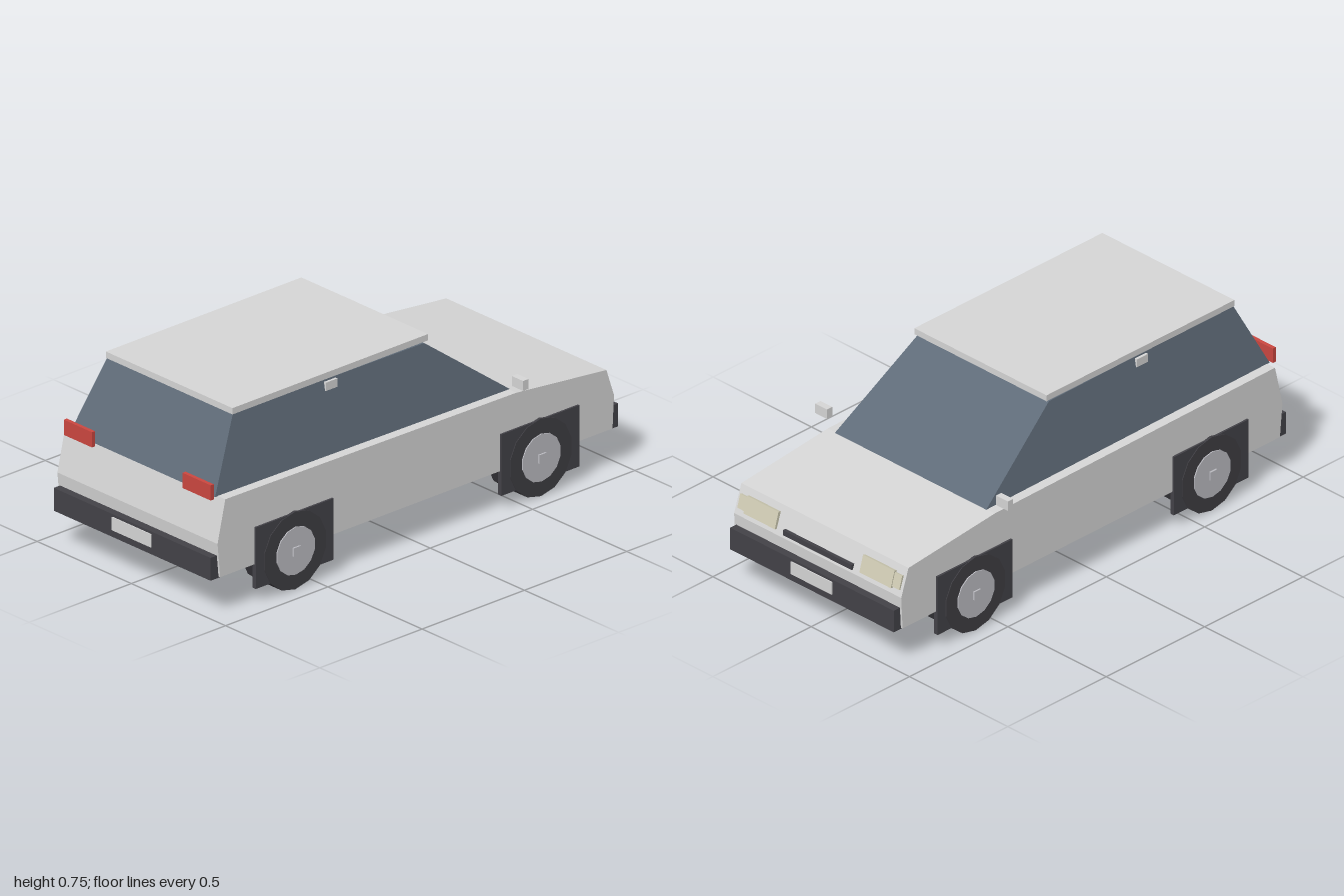
import * as THREE from 'three';

const mat = (name, color) => {
  const m = new THREE.MeshStandardMaterial({ color, flatShading: true });
  m.name = name;
  return m;
};

export function createModel() {
  const paint = mat('bodyPaint', 0xd6d6d6);
  const glass = mat('glass', 0x5f6b78);
  const trim = mat('darkTrim', 0x434248);
  const rubber = mat('rubber', 0x3f3e43);
  const alloy = mat('alloy', 0xbcbcc2);
  const red = mat('tailRed', 0xcb4740);
  const cream = mat('lampCream', 0xd0ccb4);

  const car = new THREE.Group();
  car.name = 'car';
  const add = (name, geo, material) => {
    const mesh = new THREE.Mesh(geo, material);
    mesh.name = name;
    car.add(mesh);
    return mesh;
  };
  // Box given by its extents along each axis
  const box = (name, material, [x0, x1], [y0, y1], [z0, z1]) => {
    const mesh = add(name, new THREE.BoxGeometry(x1 - x0, y1 - y0, z1 - z0), material);
    mesh.position.set((x0 + x1) / 2, (y0 + y1) / 2, (z0 + z1) / 2);
    return mesh;
  };
  // Same extents on either side of the car
  const pair = (name, material, [x0, x1], y, z) => [
    box(name + 'Left', material, [x0, x1], y, z),
    box(name + 'Right', material, [-x1, -x0], y, z),
  ];

  // Lower body: side profile (z, y) extruded across the width
  const profile = [
    [0.957, 0.15], [0.97, 0.285], [0.932, 0.45], [-0.49, 0.435],
    [-0.93, 0.39], [-0.967, 0.28], [-0.96, 0.15],
  ];
  const shape = new THREE.Shape(profile.map(([z, y]) => new THREE.Vector2(-z, y)));
  const bodyGeo = new THREE.ExtrudeGeometry(shape, { depth: 0.85, bevelEnabled: false });
  bodyGeo.translate(0, 0, -0.425).rotateY(Math.PI / 2);
  add('body', bodyGeo, paint);

  // Glasshouse: a box tapered towards the roof
  const cabinGeo = new THREE.BoxGeometry(2, 2, 2);
  const p = cabinGeo.attributes.position;
  for (let i = 0; i < p.count; i++) {
    const top = p.getY(i) > 0;
    const tail = p.getZ(i) > 0;
    const x = Math.sign(p.getX(i)) * (top ? 0.333 : 0.385);
    if (top) p.setXYZ(i, x, tail ? 0.722 : 0.712, tail ? 0.81 : -0.125);
    else p.setXYZ(i, x, tail ? 0.449 : 0.435, tail ? 0.945 : -0.495);
  }
  cabinGeo.computeVertexNormals();
  add('windows', cabinGeo, glass);

  // Roof and the small pillar tabs below it
  box('roof', paint, [-0.336, 0.336], [0.719, 0.744], [-0.14, 0.815]);
  pair('pillarTab', paint, [0.32, 0.345], [0.677, 0.71], [0.31, 0.367]);

  // Bumpers and blank plates at both ends
  for (const [end, s] of [['rear', 1], ['front', -1]]) {
    const span = (a, b) => (s > 0 ? [a, b] : [-b, -a]);
    box(end + 'Bumper', trim, [-0.416, 0.416], [0.145, 0.235], span(0.945, 0.996));
    box(end + 'Plate', paint, [-0.104, 0.104], [0.173, 0.225], span(0.992, 1));
  }

  // Lamps, grille slot and door mirrors
  pair('tailLight', red, [0.24, 0.39], [0.445, 0.505], [0.956, 0.971]);
  for (const lamp of pair('headlight', cream, [0.215, 0.375], [0.297, 0.365], [-0.961, -0.941])) {
    lamp.rotation.x = 0.28;
  }
  for (const lamp of pair('cornerLamp', cream, [0.375, 0.412], [0.303, 0.358], [-0.957, -0.937])) {
    lamp.rotation.x = 0.28;
  }
  box('grilleSlot', trim, [-0.175, 0.175], [0.293, 0.314], [-0.969, -0.95]);
  pair('mirror', paint, [0.43, 0.49], [0.472, 0.511], [-0.49, -0.463]);

  // Wheels with hubs and centre caps, set against dark arch panels
  const tyreGeo = new THREE.CylinderGeometry(0.153, 0.153, 0.122, 14).rotateZ(Math.PI / 2);
  tyreGeo.rotateX(Math.PI / 14);
  const hubGeo = new THREE.CylinderGeometry(0.094, 0.094, 0.13, 14).rotateZ(Math.PI / 2);
  hubGeo.rotateX(Math.PI / 14);
  const capGeo = new THREE.BoxGeometry(0.144, 0.034, 0.034);
  for (const z of [0.6, -0.6]) {
    const end = z > 0 ? 'rear' : 'front';
    pair(end + 'ArchPanel', trim, [0.415, 0.433], [0.055, 0.297], [z - 0.19, z + 0.19]);
    for (const side of [1, -1]) {
      const tag = end + (side > 0 ? 'Left' : 'Right');
      const parts = [['Tyre', tyreGeo, rubber], ['Hub', hubGeo, alloy], ['HubCap', capGeo, alloy]];
      for (const [name, geo, material] of parts) {
        add(tag + name, geo, material).position.set(side * 0.375, 0.15, z);
      }
    }
  }
  return car;
}
